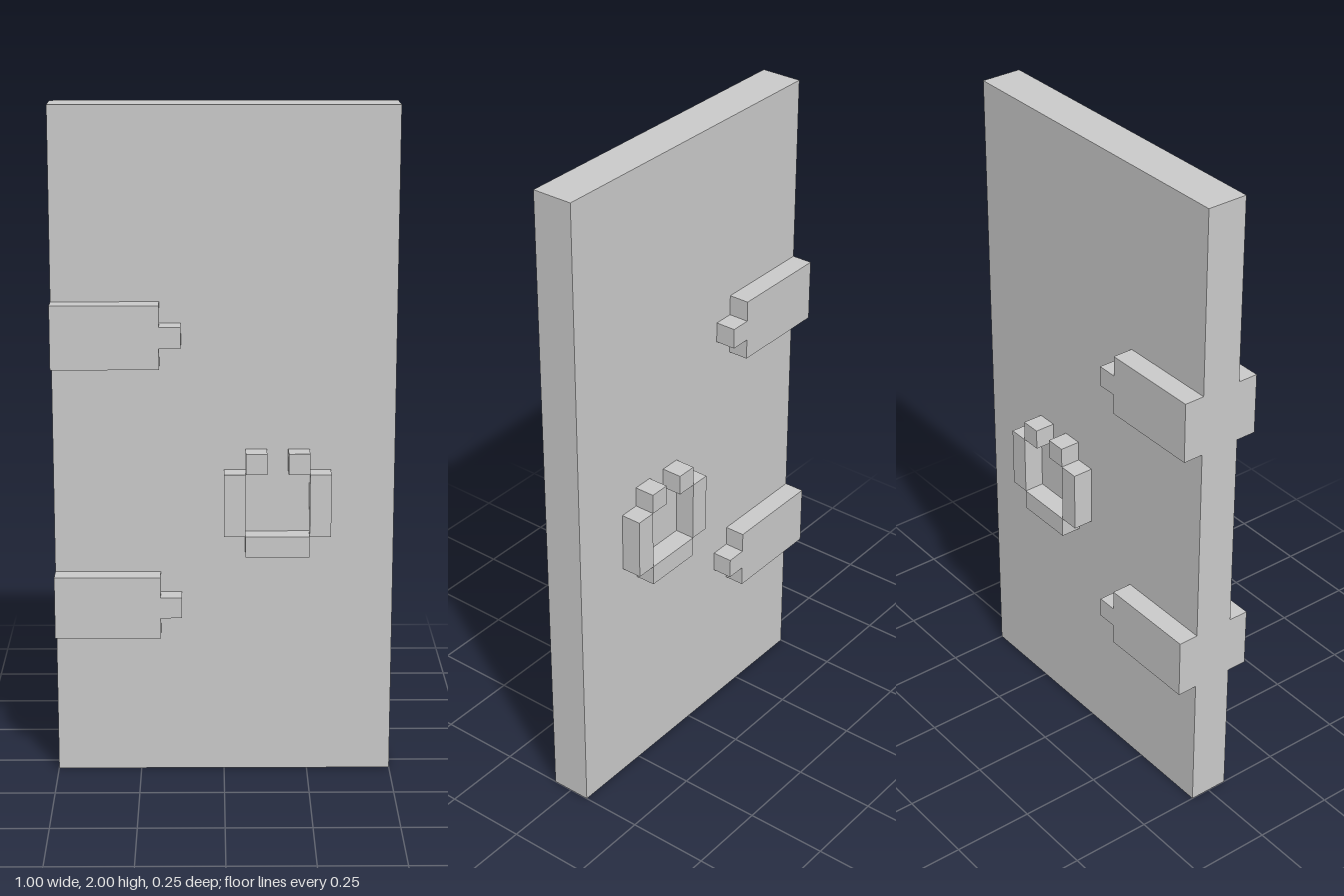
import * as THREE from 'three';

const U = 1 / 16; // modelling grid unit

export function createModel() {
  const model = new THREE.Group();
  model.name = 'door';
  const grey = new THREE.MeshStandardMaterial({ color: 0xc8c8c8 });
  grey.name = 'lightGrey';

  // Box given by its corners in grid units
  function box(parent, name, x0, x1, y0, y1, z0, z1) {
    const geometry = new THREE.BoxGeometry((x1 - x0) * U, (y1 - y0) * U, (z1 - z0) * U);
    const mesh = new THREE.Mesh(geometry, grey);
    mesh.name = name;
    mesh.position.set((x0 + x1) / 2 * U, (y0 + y1) / 2 * U, (z0 + z1) / 2 * U);
    parent.add(mesh);
  }

  box(model, 'doorPanel', -8, 8, 0, 32, -1, 1);

  // The same fittings on the front and back faces
  for (const [side, z0, z1] of [['front', 1, 2], ['back', -2, -1]]) {
    // Hinge straps with a small tip
    for (const [level, y] of [['Lower', 7], ['Upper', 20]]) {
      const hinge = new THREE.Group();
      hinge.name = `${side}${level}Hinge`;
      box(hinge, 'strap', -8, -3, y, y + 3, z0, z1);
      box(hinge, 'strapTip', -3, -2, y + 1, y + 2, z0, z1);
      model.add(hinge);
    }

    // Ring handle, open at the top
    const handle = new THREE.Group();
    handle.name = `${side}RingHandle`;
    box(handle, 'ringBottom', 1, 4, 11, 12, z0, z1);
    for (const x of [0, 4]) box(handle, 'ringSide', x, x + 1, 12, 15, z0, z1);
    for (const x of [1, 3]) box(handle, 'ringTop', x, x + 1, 15, 16, z0, z1);
    model.add(handle);
  }
  return model;
}
